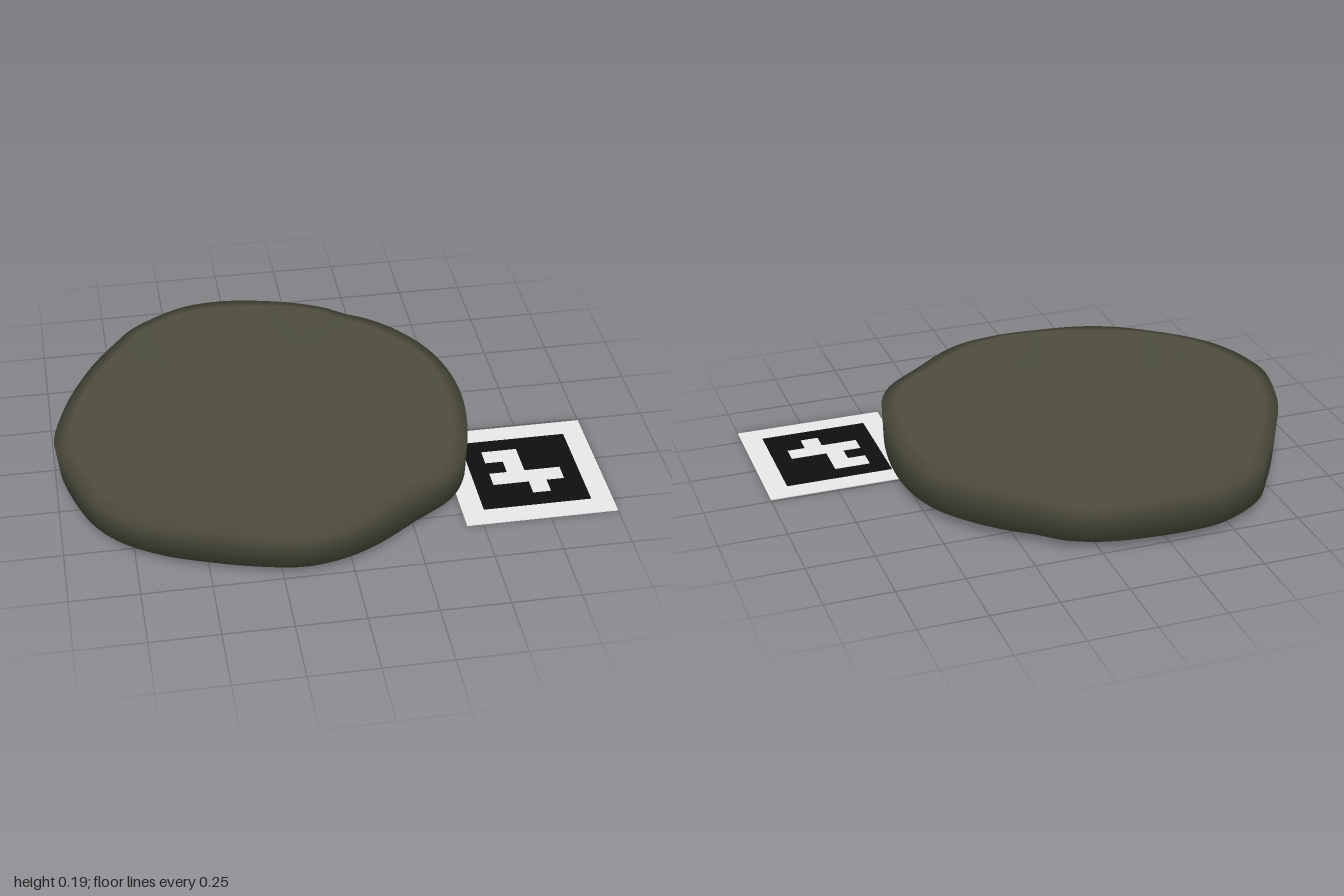
import * as THREE from 'three';

const paint = (name, color) => {
  const m = new THREE.MeshStandardMaterial({ color });
  m.name = name;
  return m;
};

// Closed smooth-shaded slab: rings of a wavy outline, from bottom centre to top centre
function slabGeometry(outline, rings) {
  const n = outline.length, pos = [], index = [];
  for (const ring of rings) {
    outline.forEach((p, i) => {
      const a = Math.atan2(p.y, p.x), s = ring.scale(a);
      pos.push(p.x * s, ring.y(a), p.y * s);
    });
  }
  for (let r = 0; r < rings.length - 1; r++) {
    for (let i = 0; i < n; i++) {
      const j = (i + 1) % n;
      const a = r * n + i, b = r * n + j, c = a + n, d = b + n;
      if (r > 0) index.push(a, c, b);
      if (r < rings.length - 2) index.push(b, c, d);
      else if (r === 0) index.push(a, c, d);
    }
    if (r === 0) continue;
  }
  const g = new THREE.BufferGeometry();
  g.setAttribute('position', new THREE.Float32BufferAttribute(pos, 3));
  g.setIndex(index);
  g.computeVertexNormals();
  return g;
}

export function createModel() {
  const olive = paint('dark olive', 0x4d4c3d);
  const grey = paint('cool grey', 0xaab0b8);
  const white = paint('marker white', 0xfafafa);
  const black = paint('marker black', 0x0f0f0f);

  const model = new THREE.Group();
  const add = (name, geometry, material, x = 0, y = 0, z = 0, parent = model) => {
    const mesh = new THREE.Mesh(geometry, material);
    mesh.name = name;
    mesh.position.set(x, y, z);
    parent.add(mesh);
    return mesh;
  };
  const cx = -0.23;

  // Irregular outline of the slab: angle in degrees, radius
  const polar = [
    [0, 0.765], [16, 0.773], [27, 0.789], [36, 0.785], [49, 0.747], [63, 0.751],
    [74, 0.761], [85, 0.762], [97, 0.743], [112, 0.737], [125, 0.757], [137, 0.779],
    [146, 0.784], [154, 0.778], [168, 0.77], [176, 0.767], [193, 0.729], [209, 0.711],
    [227, 0.734], [238, 0.773], [253, 0.788], [264, 0.775], [278, 0.766], [288, 0.77],
    [297, 0.765], [305, 0.745], [312, 0.749], [323, 0.759], [335, 0.773], [346, 0.772],
  ];
  const curve = new THREE.CatmullRomCurve3(polar.map(([deg, r]) => {
    const a = THREE.MathUtils.degToRad(deg);
    return new THREE.Vector3(r * Math.cos(a), 0, r * Math.sin(a));
  }), true);
  const outline = curve.getPoints(120).slice(0, 120).map((p) => new THREE.Vector2(p.x, p.z));

  // Slab: flat underside, slightly flared wall, softly rolled top edge
  add('slab', slabGeometry(outline, [
    { scale: () => 0, y: () => 0.04 },
    { scale: (a) => 0.99 + 0.014 * Math.cos(a + Math.PI / 4), y: () => 0.04 },
    { scale: () => 1, y: (a) => 0.176 + 0.007 * Math.sin(7 * a + 0.5) },
    { scale: () => 0.93, y: (a) => 0.186 + 0.002 * Math.sin(7 * a + 0.5) },
    { scale: () => 0, y: () => 0.188 },
  ]), olive, cx);

  // Shallow rounded foot under the slab
  const footProfile = [[0, 0.004], [0.15, 0.005], [0.3, 0.011], [0.39, 0.041]];
  add('foot', new THREE.LatheGeometry(
    footProfile.map(([r, y]) => new THREE.Vector2(r, y)), 64), grey, cx);

  // Square patterned tag lying beside the slab
  const tag = new THREE.Group();
  tag.name = 'tag';
  tag.position.set(0.72, 0, 0.29);
  model.add(tag);
  add('tagBase', new THREE.BoxGeometry(0.56, 0.003, 0.56), white, 0, 0.0015, 0, tag);
  const cell = 0.0668;
  add('tagPanel', new THREE.BoxGeometry(cell * 6, 0.002, cell * 6), black, 0, 0.004, 0, tag);

  // Light cells, as runs of row, first column, length
  for (const [row, col, len] of [[1, 1, 2], [2, 2, 1], [3, 1, 4], [4, 3, 1]]) {
    add('tagCells', new THREE.BoxGeometry(cell * len, 0.002, cell), white,
      (col + len / 2 - 3) * cell, 0.006, (row + 0.5 - 3) * cell, tag);
  }
  return model;
}
